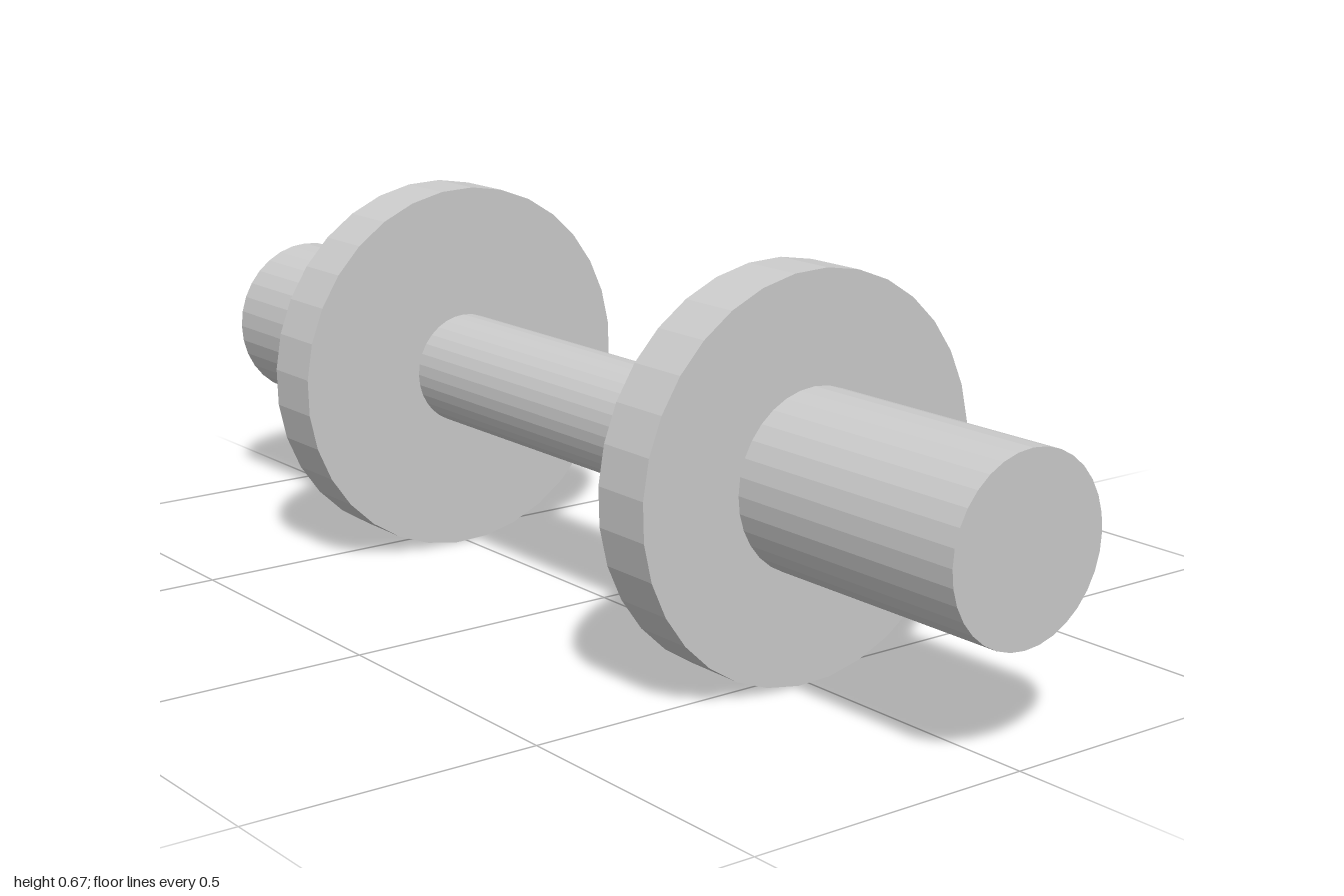
import * as THREE from 'three';

const SIDES = 32;
const AXIS_Y = 0.334;

export function createModel() {
  const group = new THREE.Group();
  group.name = 'dumbbellBar';
  const material = new THREE.MeshStandardMaterial({ color: 0xcccccc, flatShading: true });

  // Cylinder lying along z, spanning z0 to z1
  const rod = (name, radius, z0, z1, turn = 0, open = false) => {
    const geometry = new THREE.CylinderGeometry(radius, radius, z1 - z0, SIDES, 1, open);
    geometry.rotateX(Math.PI / 2).rotateZ(turn);
    const mesh = new THREE.Mesh(geometry, material);
    mesh.name = name;
    mesh.position.set(0, AXIS_Y, (z0 + z1) / 2);
    group.add(mesh);
  };

  // Thin grip between the collars
  rod('grip', 0.1, -0.43, 0.43, 0, true);

  // Collar disc and thick sleeve at each end
  const discTurn = THREE.MathUtils.degToRad(7.5);
  for (const [end, s] of [['front', 1], ['back', -1]]) {
    const span = (a, b) => (s > 0 ? [a, b] : [-b, -a]);
    rod(`${end}Collar`, 0.334, ...span(0.43, 0.54), discTurn);
    rod(`${end}Sleeve`, 0.15, ...span(0.54, 1));
  }
  return group;
}
